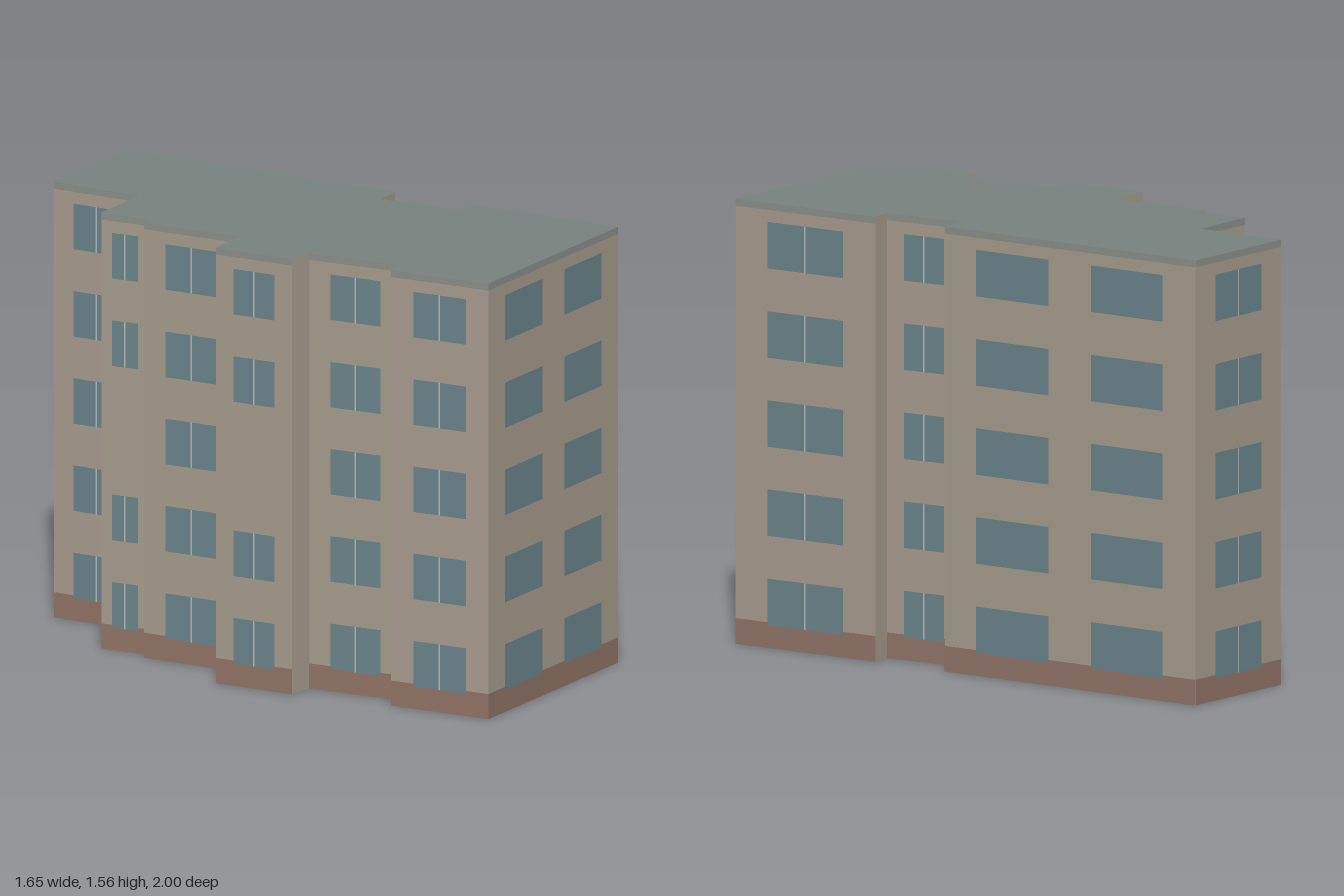
import * as THREE from 'three';

const HEIGHT = 1.56;
const material = (color) => new THREE.MeshStandardMaterial({ color, roughness: 0.9, side: THREE.DoubleSide });
const single = (color) => new THREE.MeshStandardMaterial({ color, roughness: 0.9 });

// Plan outline as wall starts [x, z], with the window spans along each wall.
// Walls without a window list are the plain returns between the bays.
const PAIR = [[0.13, 0.415], [0.585, 0.875]];
const ONE = [[0.23, 0.77]];
const WALLS = [
  { at: [-0.45, -1.0], windows: PAIR },
  { at: [0.24, -0.19] },
  { at: [0.165, -0.12], windows: ONE, split: true },
  { at: [0.375, 0.095] },
  { at: [0.43, 0.04], windows: ONE, split: true },
  { at: [0.82, 0.475], windows: PAIR },
  { at: [0.165, 0.995], windows: ONE, split: true },
  { at: [-0.095, 0.725] },
  { at: [-0.04, 0.68], windows: ONE, split: true, skip: 2 },
  { at: [-0.29, 0.43] },
  { at: [-0.37, 0.48], windows: ONE, split: true, skip: 2 },
  { at: [-0.57, 0.26] },
  { at: [-0.45, 0.155], windows: ONE, split: true },
  { at: [-0.70, -0.12] },
  { at: [-0.67, -0.15], windows: ONE, split: true, skip: 2 },
  { at: [-0.80, -0.28], windows: ONE, split: true, skip: 2 },
  { at: [-0.605, -0.44], windows: ONE, split: true },
  { at: [-0.825, -0.70], windows: ONE, split: true },
];
// The third floor of the recessed middle bay does have its window
WALLS[8].skip = undefined;

const FLOORS = [0.08, 0.393, 0.705, 1.017, 1.33];
const WINDOW_HEIGHT = 0.163;

export function createModel() {
  const model = new THREE.Group();
  model.name = 'apartmentBlock';

  const wallMat = material(0xa99d8f);
  const roofMat = material(0x7a827f);
  const plinthMat = single(0x927567);
  const bandMat = single(0x8b918d);
  const glassMat = single(0x6b868d);
  const mullionMat = single(0xb4bcba);

  // Upright rectangle on the wall a-b, from fraction t0 to t1, pushed outward
  function panel(parent, name, mat, a, b, t0, t1, y0, y1, offset) {
    const dx = b[0] - a[0], dz = b[1] - a[1];
    const length = Math.hypot(dx, dz);
    const nx = dz / length, nz = -dx / length;
    const t = (t0 + t1) / 2;
    const mesh = new THREE.Mesh(new THREE.PlaneGeometry(length * (t1 - t0), y1 - y0), mat);
    mesh.name = name;
    mesh.position.set(a[0] + dx * t + nx * offset, (y0 + y1) / 2, a[1] + dz * t + nz * offset);
    mesh.rotation.y = Math.atan2(nx, nz);
    parent.add(mesh);
    return length;
  }

  WALLS.forEach((wall, i) => {
    const a = wall.at, b = WALLS[(i + 1) % WALLS.length].at;
    const side = new THREE.Group();
    side.name = wall.windows ? 'facade' : 'plainReturn';
    model.add(side);

    const length = panel(side, 'wall', wallMat, a, b, 0, 1, 0, HEIGHT, 0);
    if (!wall.windows) return;

    // Brown base course and grey roof edge
    panel(side, 'plinth', plinthMat, a, b, 0, 1, 0, 0.09, 0.001);
    panel(side, 'roofEdge', bandMat, a, b, 0, 1, HEIGHT - 0.025, HEIGHT, 0.001);

    // Windows floor by floor, some split by a mullion
    FLOORS.forEach((y, floor) => {
      if (floor === wall.skip) return;
      for (const [t0, t1] of wall.windows) {
        panel(side, 'window', glassMat, a, b, t0, t1, y, y + WINDOW_HEIGHT, 0.002);
        if (!wall.split) continue;
        const t = (t0 + t1) / 2, half = 0.003 / length;
        panel(side, 'mullion', mullionMat, a, b, t - half, t + half, y, y + WINDOW_HEIGHT, 0.003);
      }
    });
  });

  // Flat roof following the plan; the underside is open
  const plan = new THREE.Shape(WALLS.map(({ at }) => new THREE.Vector2(at[0], -at[1])));
  const roof = new THREE.Mesh(new THREE.ShapeGeometry(plan).rotateX(-Math.PI / 2), roofMat);
  roof.name = 'roof';
  roof.position.y = HEIGHT;
  model.add(roof);

  return model;
}
